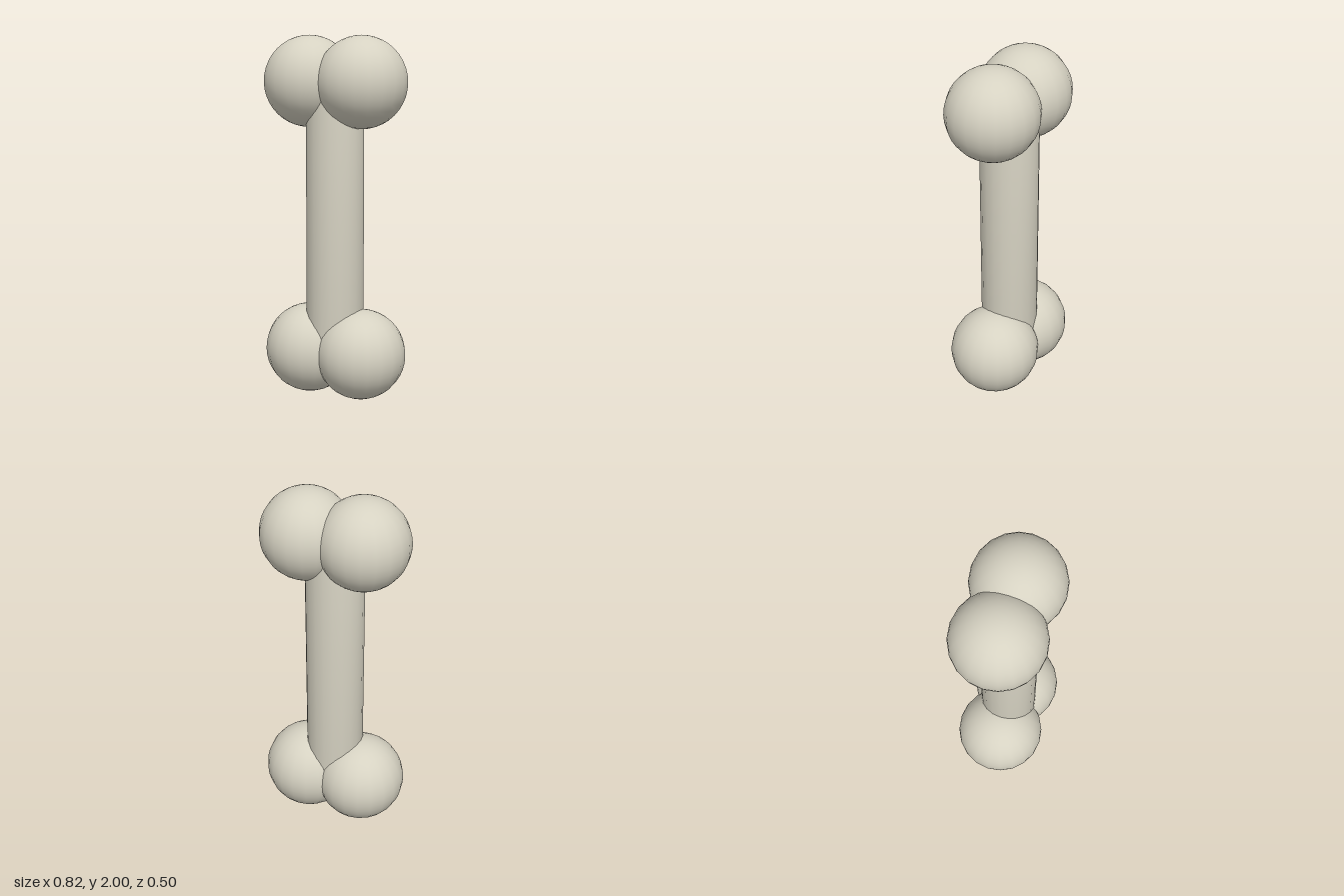
import * as THREE from 'three';
import { mergeVertices } from 'three/addons/utils/BufferGeometryUtils.js';

export function createModel() {
  const group = new THREE.Group();
  group.name = 'bone';
  const ivory = new THREE.MeshStandardMaterial({ color: 0xd6d2c2 });
  ivory.name = 'ivory';

  // Shaft: capped cylinder with normals smoothed over its end rims
  let shaftGeometry = new THREE.CylinderGeometry(0.16, 0.16, 1.5, 20);
  shaftGeometry.deleteAttribute('normal');
  shaftGeometry.deleteAttribute('uv');
  shaftGeometry = mergeVertices(shaftGeometry);
  shaftGeometry.computeVertexNormals();
  const shaft = new THREE.Mesh(shaftGeometry, ivory);
  shaft.name = 'shaft';
  shaft.position.y = 1;
  group.add(shaft);

  // Knobs: a pair of overlapping balls at each end
  const knobGeometry = new THREE.SphereGeometry(0.25, 20, 20);
  for (const [end, y] of [['lower', 0.25], ['upper', 1.75]]) {
    for (const [side, x] of [['Left', 0.16], ['Right', -0.16]]) {
      const knob = new THREE.Mesh(knobGeometry, ivory);
      knob.name = `${end}${side}Knob`;
      knob.position.set(x, y, 0);
      group.add(knob);
    }
  }
  return group;
}
